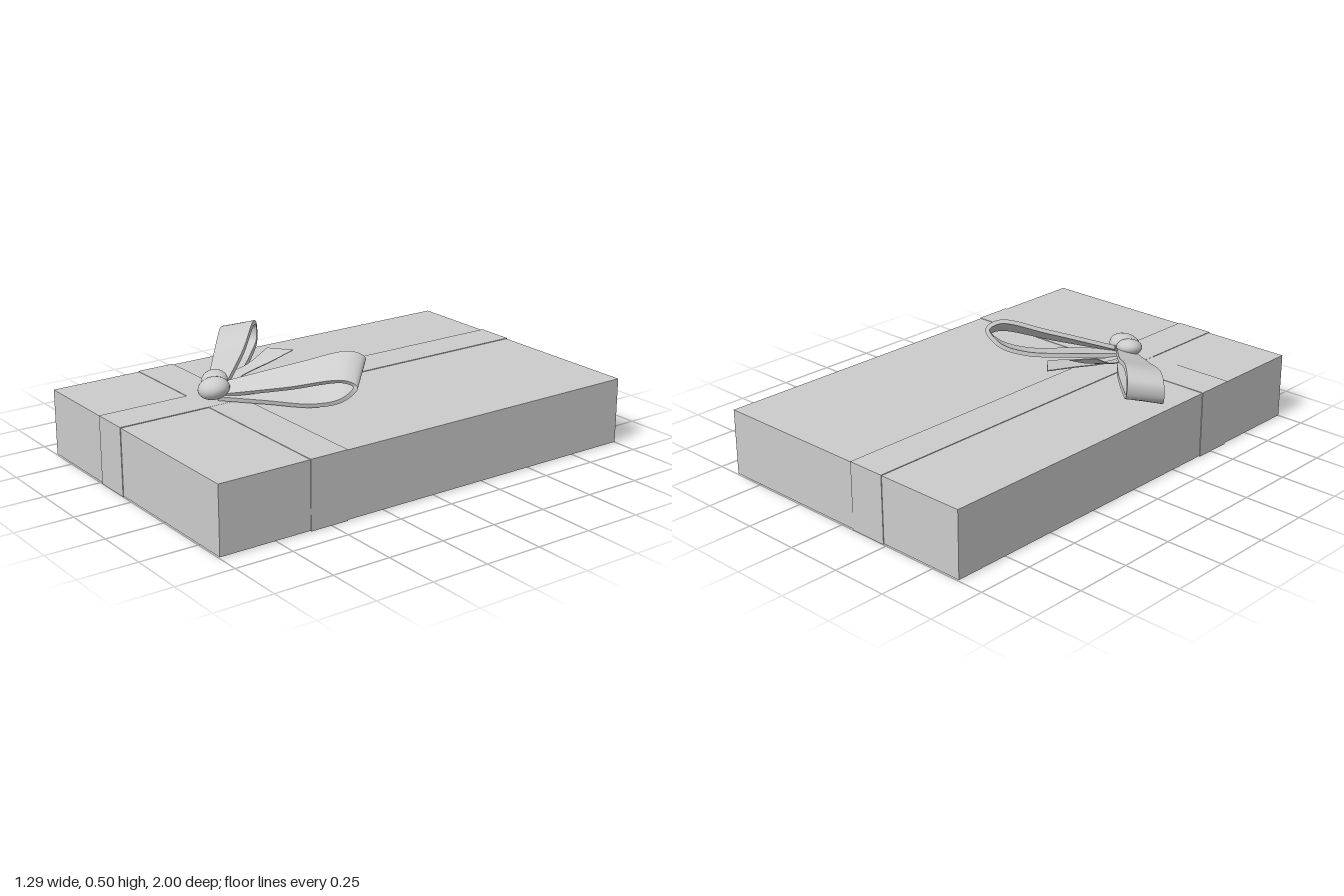
import * as THREE from 'three';

const material = new THREE.MeshStandardMaterial({ color: 0xcccccc });

function addMesh(parent, name, geometry, x = 0, y = 0, z = 0) {
  const mesh = new THREE.Mesh(geometry, material);
  mesh.name = name;
  mesh.position.set(x, y, z);
  parent.add(mesh);
  return mesh;
}

// Ribbon of even thickness spanned between two edge curves
function ribbonGeometry(nearPoints, farPoints, thickness, steps) {
  const toCurve = (pts) => new THREE.CatmullRomCurve3(pts.map((p) => new THREE.Vector3(...p)));
  const near = toCurve(nearPoints), far = toCurve(farPoints);
  const pos = [], index = [];
  const push = (v) => pos.push(v.x, v.y, v.z);
  const sections = [];
  for (let i = 0; i <= steps; i++) {
    const t = i / steps;
    const n = near.getPoint(t), f = far.getPoint(t);
    const along = near.getTangent(t).add(far.getTangent(t));
    const offset = along.cross(f.clone().sub(n)).setLength(thickness / 2);
    const corners = [n.clone().add(offset), f.clone().add(offset), f.clone().sub(offset), n.clone().sub(offset)];
    sections.push(corners);
    // every side has its own vertices, so the rims stay sharp
    for (let k = 0; k < 4; k++) {
      push(corners[k]);
      push(corners[(k + 1) % 4]);
    }
  }
  for (let i = 0; i < steps; i++) {
    for (let k = 0; k < 4; k++) {
      const a = i * 8 + k * 2, b = a + 1, c = a + 8, d = a + 9;
      index.push(a, c, b, b, c, d);
    }
  }
  // end caps
  const start = pos.length / 3;
  sections[0].forEach(push);
  sections[steps].forEach(push);
  index.push(start, start + 1, start + 2, start, start + 2, start + 3);
  index.push(start + 4, start + 6, start + 5, start + 4, start + 7, start + 6);
  const geometry = new THREE.BufferGeometry();
  geometry.setAttribute('position', new THREE.Float32BufferAttribute(pos, 3));
  geometry.setIndex(index);
  geometry.computeVertexNormals();
  return geometry;
}

export function createModel() {
  const model = new THREE.Group();
  model.name = 'giftBox';

  // Box and the two flat bands wrapped round it
  addMesh(model, 'box', new THREE.BoxGeometry(1.276, 0.285, 1.994), 0.005, 0.1455, 0);
  addMesh(model, 'lengthwiseBand', new THREE.BoxGeometry(0.17, 0.291, 2), -0.15, 0.1455, 0);
  addMesh(model, 'crosswiseBand', new THREE.BoxGeometry(1.282, 0.29, 0.17), 0.005, 0.1455, 0.51);

  const bow = new THREE.Group();
  bow.name = 'bow';
  model.add(bow);

  // Loops: out along the lid, round the tip, back over the top
  addMesh(bow, 'rightLoop', ribbonGeometry(
    [[-0.2, 0.302, 0.52], [-0.4, 0.302, 0.37], [-0.58, 0.303, 0.22], [-0.636, 0.345, 0.165],
      [-0.632, 0.4, 0.165], [-0.58, 0.422, 0.21], [-0.4, 0.37, 0.36], [-0.2, 0.312, 0.52]],
    [[-0.15, 0.305, 0.46], [-0.29, 0.32, 0.29], [-0.45, 0.33, 0.135], [-0.525, 0.36, 0.06],
      [-0.535, 0.425, 0.053], [-0.485, 0.455, 0.1], [-0.32, 0.4, 0.26], [-0.15, 0.34, 0.45]],
    0.018, 64));
  addMesh(bow, 'leftLoop', ribbonGeometry(
    [[-0.1, 0.303, 0.53], [0.05, 0.303, 0.4], [0.2, 0.303, 0.265], [0.285, 0.335, 0.185],
      [0.31, 0.385, 0.14], [0.275, 0.405, 0.17], [0.1, 0.36, 0.33], [-0.1, 0.312, 0.51]],
    [[-0.155, 0.315, 0.46], [-0.03, 0.335, 0.27], [0.08, 0.36, 0.115], [0.155, 0.4, 0.04],
      [0.21, 0.46, 0.025], [0.185, 0.488, 0.075], [0.05, 0.435, 0.23], [-0.14, 0.35, 0.45]],
    0.018, 64));

  // Loose tails
  addMesh(bow, 'raisedTail', ribbonGeometry(
    [[-0.2, 0.31, 0.47], [-0.25, 0.34, 0.38], [-0.262, 0.36, 0.28], [-0.262, 0.413, 0.18]],
    [[-0.17, 0.31, 0.46], [-0.205, 0.34, 0.33], [-0.205, 0.37, 0.2], [-0.185, 0.408, 0.1]],
    0.004, 20));
  addMesh(bow, 'lowTail', ribbonGeometry(
    [[-0.175, 0.31, 0.47], [-0.165, 0.31, 0.36], [-0.13, 0.33, 0.2], [-0.105, 0.35, 0.055]],
    [[-0.15, 0.31, 0.45], [-0.1, 0.31, 0.36], [-0.05, 0.33, 0.24], [-0.03, 0.35, 0.14]],
    0.004, 20));

  // Knot of two plump folds, one lapping over the other
  const knotFold = (name, x, y, z, size, turn) => {
    const mesh = addMesh(bow, name, new THREE.SphereGeometry(1, 24, 16), x, y, z);
    mesh.scale.set(...size);
    mesh.rotation.set(...turn);
  };
  knotFold('knotFront', -0.13, 0.34, 0.53, [0.068, 0.046, 0.062], [0.1, 0.5, 0.15]);
  knotFold('knotBack', -0.185, 0.352, 0.492, [0.062, 0.036, 0.055], [0.1, -0.6, -0.2]);
  return model;
}
